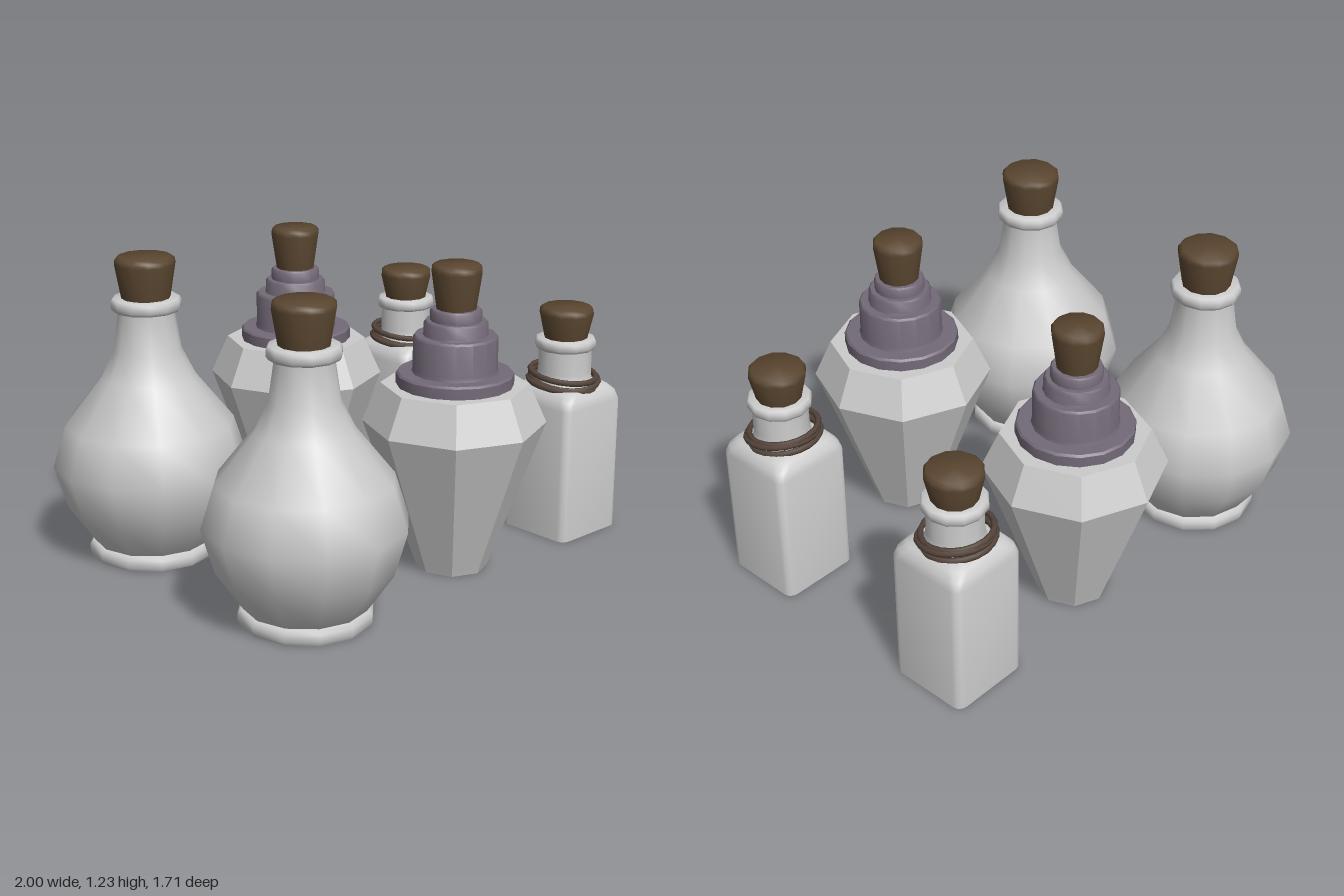
import * as THREE from 'three';
import { toCreasedNormals } from 'three/addons/utils/BufferGeometryUtils.js';

const glass = new THREE.MeshStandardMaterial({ color: 0xcccccc });
const facetedGlass = new THREE.MeshStandardMaterial({ color: 0xcccccc, flatShading: true });
const corkMat = new THREE.MeshStandardMaterial({ color: 0x5a4630 });
const metal = new THREE.MeshStandardMaterial({ color: 0x746a78 });
const twineMat = new THREE.MeshStandardMaterial({ color: 0x55453b });

// Turned part from [radius, y] pairs, bottom to top
function lathe(name, profile, sides, material, crease = 0.75) {
  const points = profile.map(([r, y]) => new THREE.Vector2(r, y));
  let geo = new THREE.LatheGeometry(points, sides);
  if (!material.flatShading) geo = toCreasedNormals(geo, crease);
  const mesh = new THREE.Mesh(geo, material);
  mesh.name = name;
  return mesh;
}

// Tapered stopper with softened top edge
function cork(y0, y1, r0, r1) {
  return lathe('cork', [
    [0, y0 - 0.02], [r0, y0 - 0.02], [r1, y1 - 0.03],
    [r1 * 0.99, y1 - 0.012], [r1 * 0.88, y1], [0, y1],
  ], 12, corkMat, 1.0);
}

// Rounded collar between y0 and y1
function collar(name, y0, y1, r, inner) {
  const h = y1 - y0;
  return lathe(name, [
    [inner, y0], [r * 0.94, y0], [r, y0 + h * 0.25], [r, y0 + h * 0.75],
    [r * 0.94, y1], [inner, y1],
  ], 12, glass, 1.0);
}

function roundFlask() {
  const g = new THREE.Group();
  g.name = 'roundFlask';
  g.add(
    lathe('flaskBody', [
      [0, 0.03], [0.23, 0.05], [0.34, 0.21], [0.39, 0.385], [0.338, 0.55],
      [0.188, 0.74], [0.135, 0.85], [0.113, 1.0], [0.113, 1.04], [0, 1.04],
    ], 12, glass, 0.9),
    lathe('flaskFoot', [
      [0, 0], [0.25, 0], [0.258, 0.015], [0.258, 0.045], [0.245, 0.06], [0.2, 0.06],
    ], 12, glass, 1.0),
    collar('flaskRim', 1.01, 1.06, 0.14, 0.08),
    cork(1.05, 1.225, 0.092, 0.12),
  );
  return g;
}

function facetedBottle() {
  const g = new THREE.Group();
  g.name = 'facetedBottle';
  g.add(
    lathe('facetedBody', [
      [0, 0], [0.143, 0], [0.15, 0.02], [0.36, 0.6], [0.29, 0.755], [0, 0.755],
    ], 8, facetedGlass),
    // Stepped metal cap
    lathe('metalCap', [
      [0.23, 0.75], [0.23, 0.797], [0.222, 0.805], [0.17, 0.805], [0.165, 0.82],
      [0.165, 0.945], [0.158, 0.953], [0.128, 0.953], [0.125, 0.96], [0.125, 1.0],
      [0.118, 1.01], [0.1, 1.01], [0.1, 1.048], [0.094, 1.056], [0, 1.056],
    ], 16, metal),
    cork(1.05, 1.23, 0.075, 0.1),
  );
  return g;
}

// Outline of a rounded square, counter-clockwise seen from the front of the xy plane
function roundedSquare(half, radius, steps = 3) {
  const out = [];
  for (let c = 0; c < 4; c++) {
    const a0 = c * Math.PI / 2;
    const cx = (c === 0 || c === 3 ? 1 : -1) * (half - radius);
    const cy = (c < 2 ? 1 : -1) * (half - radius);
    for (let i = 0; i <= steps; i++) {
      const a = a0 + (i / steps) * Math.PI / 2;
      out.push([cx + radius * Math.cos(a), cy + radius * Math.sin(a)]);
    }
  }
  return out;
}

// Square body lofted through rounded-square sections [y, half width, corner radius]
function squareBody() {
  const levels = [
    [0, 0.171, 0.035], [0.56, 0.171, 0.035], [0.595, 0.163, 0.045],
    [0.62, 0.143, 0.055], [0.635, 0.115, 0.07],
  ];
  const pos = [], idx = [];
  const n = roundedSquare(1, 0.1).length;
  for (const [y, half, r] of levels)
    for (const [x, v] of roundedSquare(half, r)) pos.push(x, y, -v);
  for (let k = 0; k < levels.length - 1; k++)
    for (let i = 0; i < n; i++) {
      const a = k * n + i, b = k * n + (i + 1) % n;
      idx.push(a, b, b + n, a, b + n, a + n);
    }
  // Bottom and top caps
  const top = (levels.length - 1) * n;
  for (let i = 1; i < n - 1; i++) {
    idx.push(0, i + 1, i);
    idx.push(top, top + i, top + i + 1);
  }
  const geo = new THREE.BufferGeometry();
  geo.setAttribute('position', new THREE.Float32BufferAttribute(pos, 3));
  geo.setIndex(idx);
  const mesh = new THREE.Mesh(toCreasedNormals(geo, 0.8), glass);
  mesh.name = 'squareBody';
  return mesh;
}

function squareBottle() {
  const g = new THREE.Group();
  g.name = 'squareBottle';
  g.add(
    squareBody(),
    lathe('squareNeck', [
      [0.125, 0.625], [0.113, 0.645], [0.11, 0.68], [0.11, 0.8], [0, 0.8],
    ], 12, glass),
    collar('squareRim', 0.775, 0.82, 0.126, 0.08),
    cork(0.82, 0.95, 0.085, 0.112),
  );
  // Twine loops, each leaning a little differently: [y, radius, lean x, lean z]
  const loops = [
    [0.63, 0.142, 0.1, -0.05], [0.648, 0.14, 0.16, 0.06], [0.668, 0.136, 0.12, -0.04],
  ];
  for (const [y, r, leanX, leanZ] of loops) {
    const geo = new THREE.TorusGeometry(r, 0.012, 6, 20).rotateX(Math.PI / 2);
    const loop = new THREE.Mesh(geo, twineMat);
    loop.name = 'twineLoop';
    loop.position.set(-0.005 + leanZ * 0.1, y, 0);
    loop.rotation.set(leanX, 0, leanZ);
    g.add(loop);
  }
  return g;
}

export function createModel() {
  const model = new THREE.Group();
  model.name = 'bottleSet';
  // Two identical rows of three bottles
  for (const z of [-0.467, 0.467]) {
    const row = new THREE.Group();
    row.name = z > 0 ? 'frontRow' : 'backRow';
    row.position.z = z;
    const bottles = [[roundFlask(), -0.61], [facetedBottle(), 0.17], [squareBottle(), 0.826]];
    for (const [bottle, x] of bottles) {
      bottle.position.x = x;
      row.add(bottle);
    }
    model.add(row);
  }
  return model;
}
